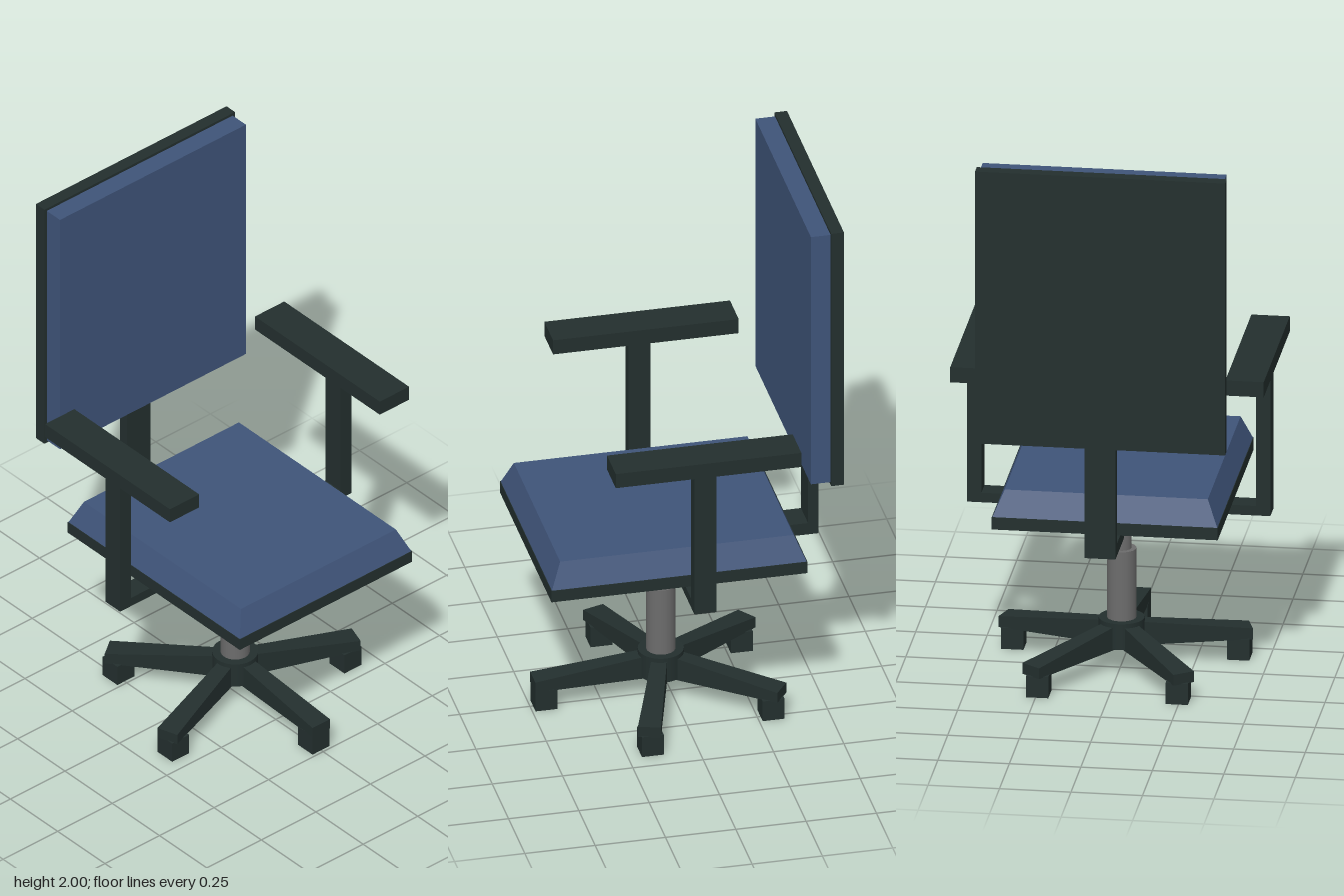
import * as THREE from 'three';

const blue = new THREE.MeshStandardMaterial({ color: 0x3f5479 });
blue.name = 'blueFabric';
const dark = new THREE.MeshStandardMaterial({ color: 0x232f2e });
dark.name = 'darkPlastic';
const grey = new THREE.MeshStandardMaterial({ color: 0x6c6c6c });
grey.name = 'greyMetal';

const BASE_Z = 0.035; // centre of the column and star base

export function createModel() {
  const model = new THREE.Group();
  model.name = 'officeChair';

  const add = (name, geometry, material, parent = model) => {
    const mesh = new THREE.Mesh(geometry, material);
    mesh.name = name;
    parent.add(mesh);
    return mesh;
  };
  // Box given by its limits on each axis
  const box = (name, material, [x0, x1], [y0, y1], [z0, z1], parent) => {
    const mesh = add(name, new THREE.BoxGeometry(x1 - x0, y1 - y0, z1 - z0), material, parent);
    mesh.position.set((x0 + x1) / 2, (y0 + y1) / 2, (z0 + z1) / 2);
    return mesh;
  };
  const cylinder = (name, material, radius, y0, y1) => {
    const mesh = add(name, new THREE.CylinderGeometry(radius, radius, y1 - y0, 32), material);
    mesh.position.set(0, (y0 + y1) / 2, BASE_Z);
  };

  // Seat: board, mounting plate and cushion with bevelled sides
  box('seatBoard', dark, [-0.395, 0.395], [0.635, 0.68], [-0.395, 0.515]);
  box('mountingPlate', dark, [-0.14, 0.14], [0.575, 0.635], [-0.123, 0.19]);
  const cushion = box('seatCushion', blue, [-0.393, 0.393], [0.68, 0.77], [-0.393, 0.513]);
  const cp = cushion.geometry.attributes.position;
  for (let i = 0; i < cp.count; i++) {
    if (cp.getY(i) > 0) {
      cp.setX(i, cp.getX(i) - Math.sign(cp.getX(i)) * 0.038);
      cp.setZ(i, cp.getZ(i) - Math.sign(cp.getZ(i)) * 0.038);
    }
  }
  cushion.geometry = cushion.geometry.toNonIndexed();
  cushion.geometry.computeVertexNormals();

  // Backrest and its L-shaped support
  box('backBoard', dark, [-0.437, 0.437], [0.995, 2], [-0.515, -0.47]);
  box('backCushion', blue, [-0.426, 0.426], [1.005, 1.99], [-0.47, -0.4]);
  box('backSupportPost', dark, [-0.054, 0.054], [0.59, 0.995], [-0.513, -0.476]);
  box('backSupportBar', dark, [-0.054, 0.054], [0.59, 0.635], [-0.476, -0.302]);

  // Armrests, mirrored in x
  for (const side of [1, -1]) {
    const arm = new THREE.Group();
    arm.name = side > 0 ? 'leftArm' : 'rightArm';
    model.add(arm);
    const span = (a, b) => (side > 0 ? [a, b] : [-b, -a]);
    box('armPad', dark, span(0.414, 0.548), [1.15, 1.206], [-0.338, 0.322], arm);
    box('armPost', dark, span(0.48, 0.53), [0.6, 1.15], [-0.04, 0.038], arm);
    box('armBracket', dark, span(0.32, 0.48), [0.6, 0.635], [-0.04, 0.038], arm);
  }

  // Gas column
  cylinder('upperColumn', grey, 0.034, 0.43, 0.577);
  cylinder('lowerColumn', grey, 0.051, 0.17, 0.43);
  cylinder('baseHub', dark, 0.08, 0.08, 0.175);

  // Five legs that taper towards the hub in width and rise in height
  const legGeometry = new THREE.BoxGeometry(1, 1, 1).toNonIndexed();
  const lp = legGeometry.attributes.position;
  for (let i = 0; i < lp.count; i++) {
    const tip = lp.getZ(i) > 0;
    const top = lp.getY(i) > 0;
    lp.setXYZ(i, Math.sign(lp.getX(i)) * (tip ? 0.04 : 0.025),
      top ? (tip ? 0.115 : 0.168) : 0.075, tip ? 0.455 : 0);
  }
  legGeometry.computeVertexNormals();
  for (let i = 0; i < 5; i++) {
    const angle = (i * Math.PI * 2) / 5;
    const leg = add('baseLeg', legGeometry, dark);
    leg.position.z = BASE_Z;
    leg.rotation.y = angle;
    const x = 0.415 * Math.sin(angle);
    const z = BASE_Z + 0.415 * Math.cos(angle);
    box('casterFoot', dark, [x - 0.039, x + 0.039], [0, 0.078], [z - 0.039, z + 0.039]);
  }
  return model;
}
